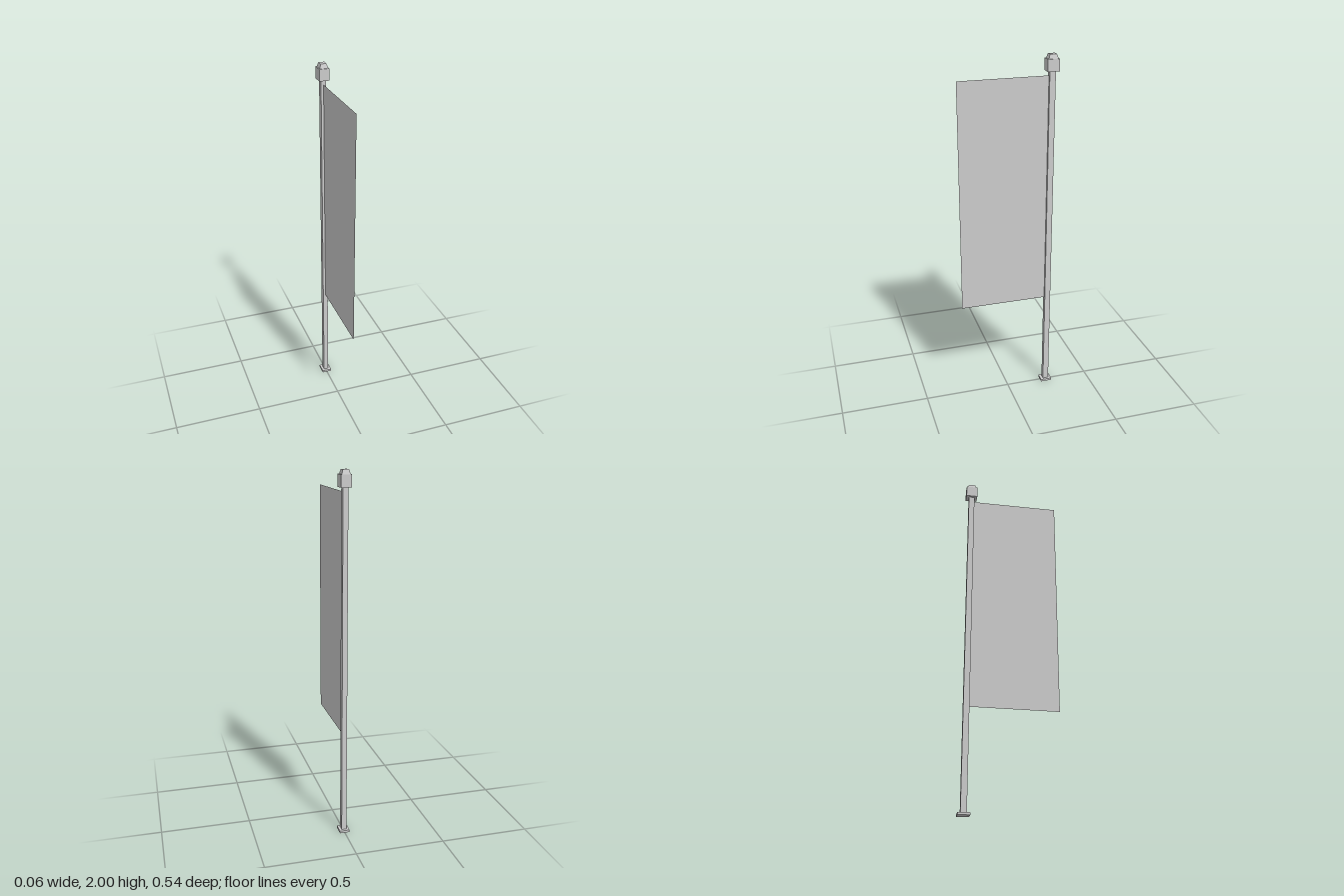
import * as THREE from 'three';

export function createModel() {
  const model = new THREE.Group();
  const poleZ = -0.24;
  const material = new THREE.MeshStandardMaterial({ color: 0xcccccc, flatShading: true });
  const cloth = new THREE.MeshStandardMaterial({ color: 0xcccccc, side: THREE.DoubleSide });

  function add(name, geometry, y, z = poleZ, mat = material) {
    const mesh = new THREE.Mesh(geometry, mat);
    mesh.name = name;
    mesh.position.set(0, y, z);
    model.add(mesh);
    return mesh;
  }
  // Box centred on the pole axis, spanning y0 to y1
  function post(name, width, depth, y0, y1) {
    return add(name, new THREE.BoxGeometry(width, y1 - y0, depth), (y0 + y1) / 2);
  }

  // Foot plate, square pole and cap block
  post('footPlate', 0.056, 0.065, 0, 0.013);
  post('pole', 0.028, 0.033, 0.013, 1.912);
  post('capBlock', 0.056, 0.065, 1.912, 1.976);

  // Tapered top: a box whose upper corners are drawn in
  const taper = post('capTop', 0.046, 0.054, 1.976, 2).geometry;
  const p = taper.attributes.position;
  for (let i = 0; i < p.count; i++) {
    if (p.getY(i) > 0) p.setXYZ(i, p.getX(i) * 0.7, p.getY(i), p.getZ(i) * 0.7);
  }
  taper.computeVertexNormals();

  // Thin banner hanging forward from the pole
  const back = poleZ + 0.0165, front = 0.272, bottom = 0.578, top = 1.888;
  const banner = add('banner', new THREE.PlaneGeometry(front - back, top - bottom),
    (top + bottom) / 2, (front + back) / 2, cloth);
  banner.rotation.y = Math.PI / 2;

  return model;
}
